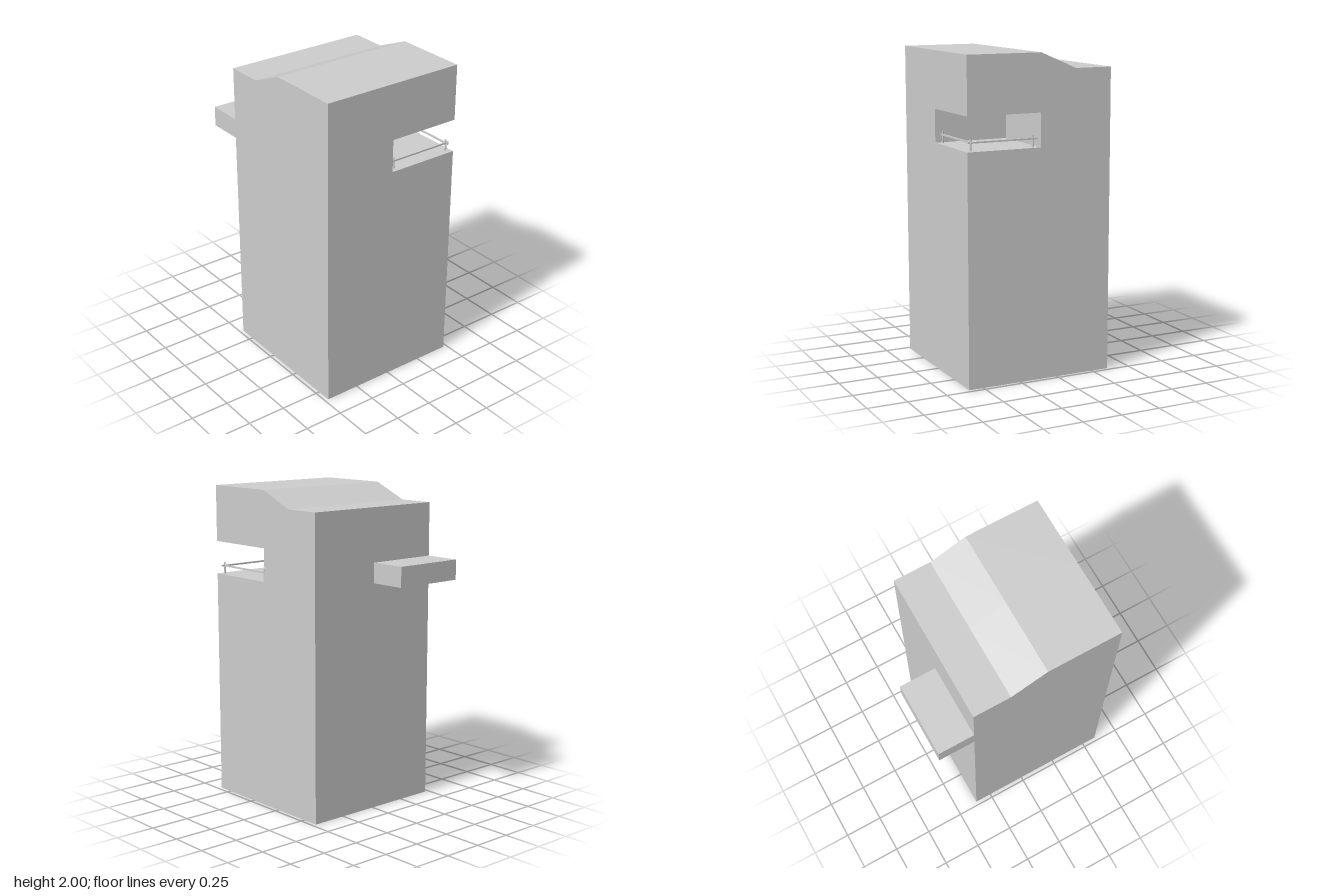
import * as THREE from 'three';

const W = 0.475, FRONT = 0.595, BACK = -0.36;
const FLOOR = 1.437, CEILING = 1.645, RECESS = 0.115;

export function createModel() {
  const group = new THREE.Group();
  const material = new THREE.MeshStandardMaterial({ color: 0xcccccc, flatShading: true });

  const add = (name, geometry, x = 0, y = 0, z = 0) => {
    const mesh = new THREE.Mesh(geometry, material);
    mesh.name = name;
    mesh.position.set(x, y, z);
    group.add(mesh);
  };

  // Extrudes a side profile of [z, y] points along x
  const slab = (name, points, x0, x1) => {
    const shape = new THREE.Shape(points.map(([z, y]) => new THREE.Vector2(-z, y)));
    const geometry = new THREE.ExtrudeGeometry(shape, { depth: x1 - x0, bevelEnabled: false });
    add(name, geometry.rotateY(Math.PI / 2), x0);
  };

  // Tower halves share a stepped roof; one half has the corner balcony cut out
  const outline = [[FRONT, 0], [BACK, 0], [BACK, 1.9], [-0.12, 1.9], [RECESS, 2], [FRONT, 2]];
  const recess = [[FRONT, CEILING], [RECESS, CEILING], [RECESS, FLOOR], [FRONT, FLOOR]];
  slab('towerSolidHalf', outline, -W, 0);
  slab('towerBalconyHalf', [...outline, ...recess], 0, W);

  // Projecting box on the back wall
  add('backBay', new THREE.BoxGeometry(W, 0.127, FRONT + BACK), -W / 2, 1.499, (BACK - FRONT) / 2);

  // Balcony railing: three posts and two crossing rails
  const postX = 0.443, postZ = 0.56;
  for (const [x, z] of [[0.035, postZ], [postX, postZ], [postX, 0.155]]) {
    add('railingPost', new THREE.CylinderGeometry(0.006, 0.006, 0.073, 8), x, FLOOR + 0.0365, z);
  }
  add('frontRail', new THREE.BoxGeometry(0.455, 0.01, 0.01), 0.236, 1.488, postZ);
  add('sideRail', new THREE.BoxGeometry(0.01, 0.01, 0.455), postX, 1.488, 0.352);

  return group;
}
